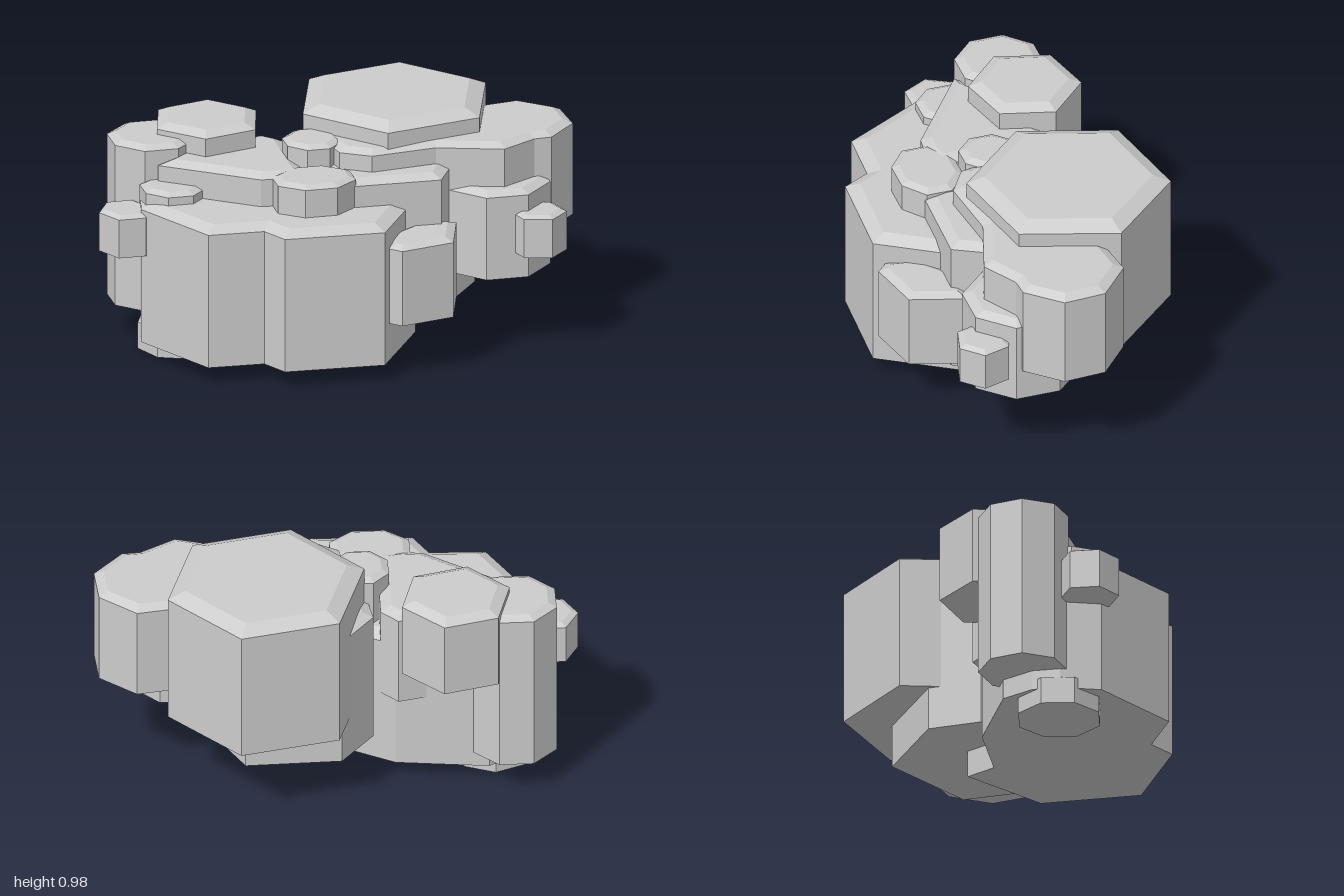
import * as THREE from 'three';

// Regular footprint: corners around a centre, first corner at deg from +x towards +z
function ring(sides, cx, cz, rx, deg, rz = rx) {
  return Array.from({ length: sides }, (_, i) => {
    const a = THREE.MathUtils.degToRad(deg) + (i * 2 * Math.PI) / sides;
    return [cx + rx * Math.cos(a), cz + rz * Math.sin(a)];
  });
}

// Move each corner of a footprint inward by d along its mitre
function inset(pts, d) {
  const n = pts.length;
  return pts.map((p, i) => {
    const a = p.clone().sub(pts[(i + n - 1) % n]).normalize();
    const b = pts[(i + 1) % n].clone().sub(p).normalize();
    const na = new THREE.Vector2(-a.y, a.x), nb = new THREE.Vector2(-b.y, b.x);
    return p.clone().addScaledVector(na.clone().add(nb), d / Math.max(0.4, 1 + na.dot(nb)));
  });
}

// Upright stone: footprint corners [x, z], straight sides, chamfered top edge
function stoneGeometry(footprint, bottom, top, chamfer) {
  // Work in (x, -z) so that counter-clockwise corners face up
  const outer = footprint.map(([x, z]) => new THREE.Vector2(x, -z));
  if (THREE.ShapeUtils.isClockWise(outer)) outer.reverse();
  const inner = inset(outer, chamfer);
  const rings = [[outer, bottom], [outer, top - chamfer / 2], [inner, top]];
  const pos = [];
  const put = (r, i) => {
    const [pts, y] = rings[r], p = pts[i % pts.length];
    pos.push(p.x, y, -p.y);
  };
  // Walls and chamfer
  for (let r = 0; r < 2; r++) {
    for (let i = 0; i < outer.length; i++) {
      put(r, i); put(r, i + 1); put(r + 1, i + 1);
      put(r, i); put(r + 1, i + 1); put(r + 1, i);
    }
  }
  // Top and underside
  for (const [a, b, c] of THREE.ShapeUtils.triangulateShape(inner, [])) {
    put(2, a); put(2, b); put(2, c);
  }
  for (const [a, b, c] of THREE.ShapeUtils.triangulateShape(outer, [])) {
    put(0, a); put(0, c); put(0, b);
  }
  const geo = new THREE.BufferGeometry();
  geo.setAttribute('position', new THREE.Float32BufferAttribute(pos, 3));
  geo.computeVertexNormals();
  return geo;
}

export function createModel() {
  const group = new THREE.Group();
  group.name = 'rockCluster';
  const material = new THREE.MeshStandardMaterial({ color: 0xcccccc, flatShading: true });
  const addStone = (name, bottom, top, chamfer, footprint) => {
    const mesh = new THREE.Mesh(stoneGeometry(footprint, bottom, top, chamfer), material);
    mesh.name = name;
    group.add(mesh);
  };

  // Broad irregular stones
  addStone('baseStone', 0.07, 0.68, 0.055, [
    [-0.84, 0.07], [-0.645, 0.44], [-0.41, 0.45], [-0.35, 0.565], [0.07, 0.585], [0.29, 0.225],
    [0.15, -0.15], [0.03, -0.08], [-0.23, -0.23], [-0.615, -0.28], [-0.74, -0.2], [-0.8, -0.1]]);
  addStone('leftLedge', 0.465, 0.885, 0.04, [
    [0.65, 0.295], [0.8, 0.205], [0.875, 0.2], [1, 0.06], [0.99, -0.12], [0.84, -0.25],
    [0.65, -0.22], [0.1, -0.15], [-0.05, 0], [-0.02, 0.17], [0.1, 0.245], [0.38, 0.21]]);
  addStone('middleStone', 0.185, 0.795, 0.045, [
    [0, 0.335], [0.37, 0.345], [0.43, 0.23], [0.6, 0], [0.4, -0.39], [0, -0.38], [-0.14, -0.2], [-0.1, 0.1]]);
  addStone('diagonalStone', 0.4, 0.82, 0.045, [
    [-0.74, -0.04], [-0.37, 0.23], [-0.28, 0.24], [-0.18, 0.22], [-0.17, -0.2], [-0.24, -0.275], [-0.55, -0.2]]);
  addStone('frontBlock', 0.235, 0.58, 0.035, [
    [0.1, 0.54], [0.145, 0.585], [0.375, 0.53], [0.445, 0.3], [0.3, 0.27], [0.12, 0.4]]);

  // Tall columns
  addStone('tallStone', 0.37, 0.98, 0.065, ring(6, 0.303, -0.19, 0.422, -12.5));
  addStone('backColumn', 0.57, 0.92, 0.045, ring(6, -0.478, -0.26, 0.234, -15));
  addStone('outerColumn', 0.155, 0.875, 0.035, ring(8, -0.72, -0.23, 0.187, 22.5));

  // Smaller stones around the edge
  addStone('sideStone', 0.32, 0.7, 0.04, ring(8, 0.648, 0.13, 0.233, 22.5, 0.249));
  addStone('sidePebble', 0.43, 0.61, 0.025, ring(6, 0.783, 0.342, 0.118, 14));
  addStone('endPebble', 0.46, 0.64, 0.025, ring(6, -0.885, 0, 0.115, 0, 0.125));
  addStone('lowPebble', 0.5, 0.73, 0.03, ring(8, -0.685, 0, 0.14, 22.5));

  // Small stones on top
  addStone('frontCapStone', 0.5, 0.815, 0.03, ring(8, -0.155, 0.273, 0.179, 22.5, 0.144));
  addStone('centreCapStone', 0.5, 0.89, 0.03, ring(8, -0.1, 0.02, 0.125, 22.5, 0.13));

  // Foot under the base
  addStone('footStone', 0, 0.12, 0.01, ring(8, -0.645, -0.045, 0.18, 0));
  return group;
}
